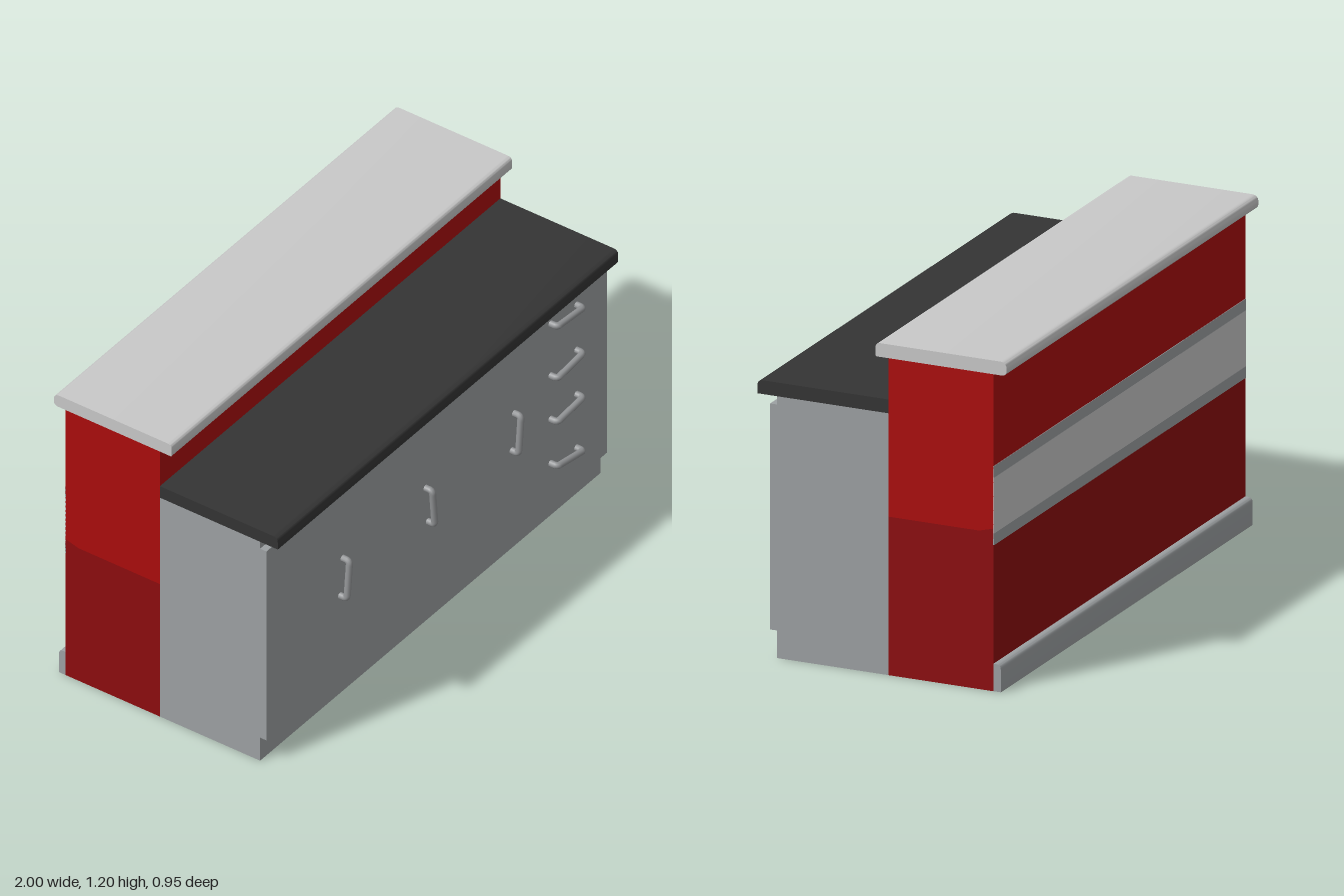
import * as THREE from 'three';
import { toCreasedNormals } from 'three/addons/utils/BufferGeometryUtils.js';

const mat = (name, color) => {
  const m = new THREE.MeshStandardMaterial({ color });
  m.name = name;
  return m;
};

// Closed side profile from corners [z, y, radius], each corner rounded off
function profile(corners) {
  const shape = new THREE.Shape();
  const n = corners.length;
  corners.forEach(([z, y, r = 0], i) => {
    const p = new THREE.Vector2(-z, y);
    const toward = ([qz, qy]) =>
      new THREE.Vector2(-qz, qy).sub(p).setLength(r).add(p);
    const a = toward(corners[(i + n - 1) % n]);
    const b = toward(corners[(i + 1) % n]);
    if (i === 0) shape.moveTo(a.x, a.y);
    else shape.lineTo(a.x, a.y);
    if (r > 0) shape.quadraticCurveTo(p.x, p.y, b.x, b.y);
  });
  shape.closePath();
  return shape;
}

// Side profile swept across the full width of the counter
function sweep(name, corners, material) {
  let geo = new THREE.ExtrudeGeometry(profile(corners), {
    depth: 2, bevelEnabled: false, curveSegments: 6,
  });
  geo.rotateY(Math.PI / 2);
  geo.translate(-1, 0, 0);
  geo = toCreasedNormals(geo, 0.6);
  const mesh = new THREE.Mesh(geo, material);
  mesh.name = name;
  return mesh;
}

// Rectangular section: back/front in z, bottom/top in y, radii of the corners
const rect = (z0, z1, y0, y1, [backLow, frontLow, frontTop, backTop] = [0, 0, 0, 0]) => [
  [z0, y0, backLow], [z1, y0, frontLow], [z1, y1, frontTop], [z0, y1, backTop],
];

// Bent-rod pull handle between two points on the cabinet front
function handle(x0, y0, x1, y1, material) {
  const back = 0.42, out = 0.457, r = 0.0125;
  const at = (t, z) => new THREE.Vector3(x0 + (x1 - x0) * t, y0 + (y1 - y0) * t, z);
  const path = new THREE.CurvePath();
  path.add(new THREE.LineCurve3(at(0, back), at(0, out - 0.015)));
  path.add(new THREE.QuadraticBezierCurve3(at(0, out - 0.015), at(0, out), at(0.09, out)));
  path.add(new THREE.LineCurve3(at(0.09, out), at(0.91, out)));
  path.add(new THREE.QuadraticBezierCurve3(at(0.91, out), at(1, out), at(1, out - 0.015)));
  path.add(new THREE.LineCurve3(at(1, out - 0.015), at(1, back)));
  const mesh = new THREE.Mesh(new THREE.TubeGeometry(path, 40, r, 10), material);
  mesh.name = 'handle';
  return mesh;
}

export function createModel() {
  const grey = mat('cabinet grey', 0x9ca0a2);
  const light = mat('light grey', 0xc8c8c8);
  const dark = mat('charcoal', 0x343434);
  const red = mat('bright red', 0xaa0c0c);
  const deepRed = mat('deep red', 0x8c0c0e);
  const metal = mat('handle metal', 0x929496);

  const model = new THREE.Group();
  model.name = 'serviceCounter';

  // Cabinet and worktop on the staff side
  model.add(sweep('cabinet', rect(-0.025, 0.4, 0, 0.95), grey));
  model.add(sweep('doorPanel', rect(0.4, 0.427, 0.1, 0.92), grey));
  model.add(sweep('worktop', rect(-0.025, 0.475, 0.95, 1, [0, 0, 0.02, 0]), dark));

  // Raised red block in two shades, the seam kicking up at the back
  const seam = [[-0.025, 0.575], [-0.37, 0.575], [-0.425, 0.59]];
  model.add(sweep('lowerBlock', [[-0.425, 0], [-0.025, 0], ...seam], deepRed));
  model.add(sweep('upperBlock', [...[...seam].reverse(), [-0.025, 1.15], [-0.425, 1.15]], red));
  model.add(sweep('ledge', rect(-0.475, 0.025, 1.15, 1.2, [0.02, 0.006, 0.018, 0.025]), light));

  // Banding and baseboard on the customer side
  const band = (name, y0, y1, m) => model.add(sweep(name, rect(-0.427, -0.424, y0, y1), m));
  band('lowerTrim', 0.53, 0.572, grey);
  band('stripe', 0.572, 0.775, light);
  band('upperTrim', 0.775, 0.817, grey);
  model.add(sweep('baseboard', rect(-0.453, -0.425, 0, 0.1, [0, 0, 0, 0.02]), grey));

  // Slightly crooked handles: three on doors, four on drawers
  const handles = new THREE.Group();
  handles.name = 'handles';
  [
    [-0.568, 0.46, -0.553, 0.613],
    [-0.052, 0.46, -0.066, 0.613],
    [0.44, 0.46, 0.454, 0.613],
    [0.668, 0.868, 0.82, 0.855],
    [0.668, 0.643, 0.82, 0.659],
    [0.668, 0.454, 0.82, 0.467],
    [0.668, 0.262, 0.82, 0.235],
  ].forEach((h) => handles.add(handle(...h, metal)));
  model.add(handles);

  return model;
}
